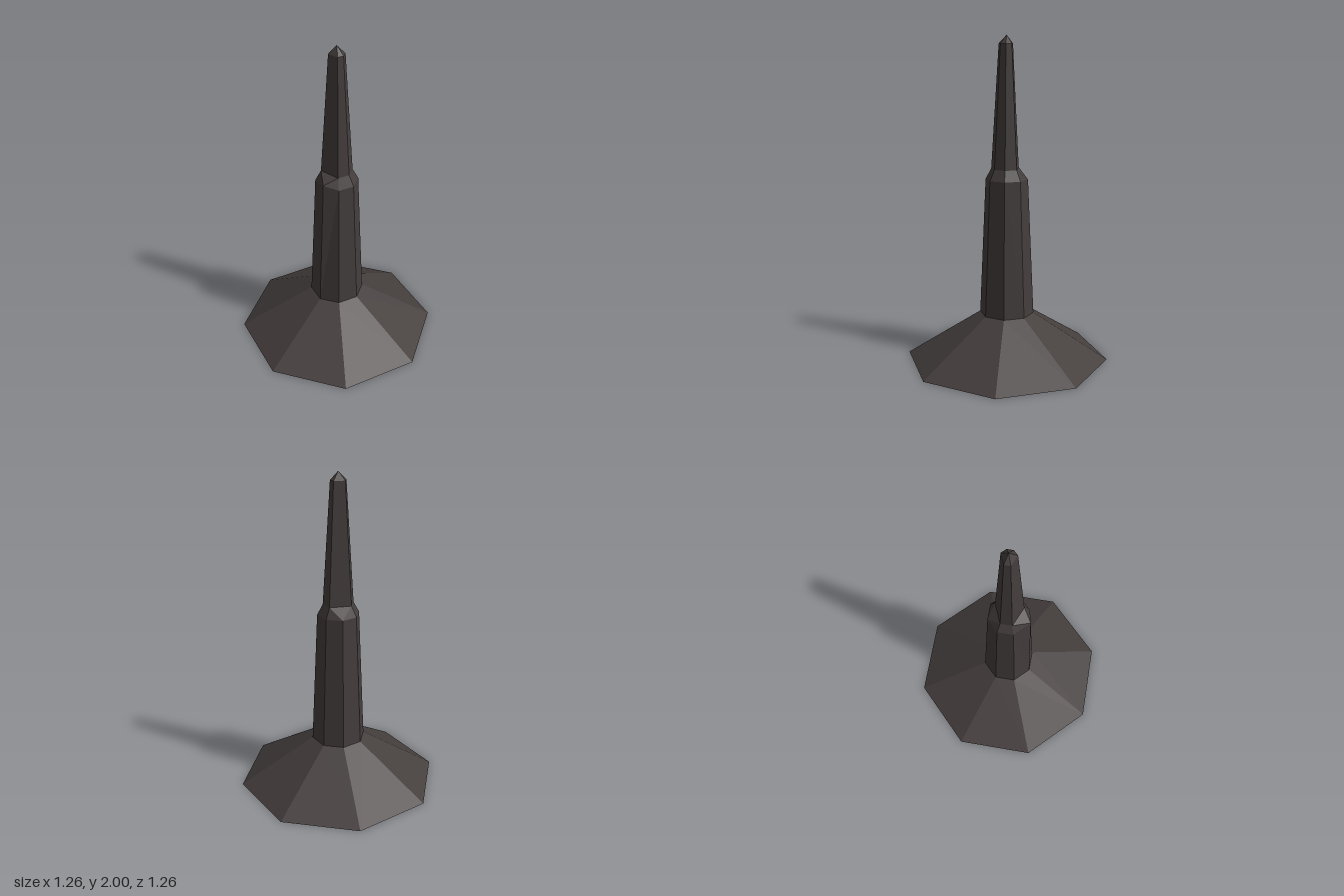
import * as THREE from 'three';

const SIDES = 8;
const chipped = [4, 7]; // corners worn away on the upper spire

// Octagonal ring with corners on the axes; corner 0 faces +z
function ring(radius, y) {
  return Array.from({ length: SIDES }, (_, i) => {
    const a = (i * Math.PI * 2) / SIDES;
    return new THREE.Vector3(Math.sin(a) * radius, y, Math.cos(a) * radius);
  });
}

// Ring whose chipped corners are pulled in to the line between their neighbours
function chippedRing(radius, y) {
  const points = ring(radius, y);
  for (const i of chipped) {
    points[i].addVectors(points[(i + SIDES - 1) % SIDES], points[(i + 1) % SIDES]).multiplyScalar(0.5);
  }
  return points;
}

// Flat-faced band between two rings, diagonals starting at the chipped corners
function band(name, lower, upper, material) {
  const positions = [];
  const face = (...points) => points.forEach((p) => positions.push(p.x, p.y, p.z));
  for (let i = 0; i < SIDES; i++) {
    const j = (i + 1) % SIDES;
    if (chipped.includes(i)) {
      face(lower[i], lower[j], upper[j]);
      face(lower[i], upper[j], upper[i]);
    } else {
      face(lower[i], lower[j], upper[i]);
      face(lower[j], upper[j], upper[i]);
    }
  }
  const geometry = new THREE.BufferGeometry();
  geometry.setAttribute('position', new THREE.Float32BufferAttribute(positions, 3));
  geometry.computeVertexNormals();
  const mesh = new THREE.Mesh(geometry, material);
  mesh.name = name;
  return mesh;
}

export function createModel() {
  const group = new THREE.Group();
  group.name = 'spire';
  const darkStone = new THREE.MeshStandardMaterial({
    color: 0x443e3d,
    flatShading: true,
    side: THREE.DoubleSide, // the base is an open shell
  });
  darkStone.name = 'darkStone';

  const foot = ring(0.632, 0);
  const postBottom = ring(0.168, 0.295);
  const postTop = ring(0.13, 1.14);
  postTop[7].set(-0.09, 1.17, 0.113); // raised, protruding shoulder corner
  const spireBottom = chippedRing(0.095, 1.205);
  const spireTop = chippedRing(0.048, 1.95);
  const tip = ring(0.0005, 2);

  group.add(
    band('flaredBase', foot, postBottom, darkStone),
    band('lowerPost', postBottom, postTop, darkStone),
    band('shoulder', postTop, spireBottom, darkStone),
    band('upperSpire', spireBottom, spireTop, darkStone),
    band('pointedTip', spireTop, tip, darkStone),
  );
  return group;
}
